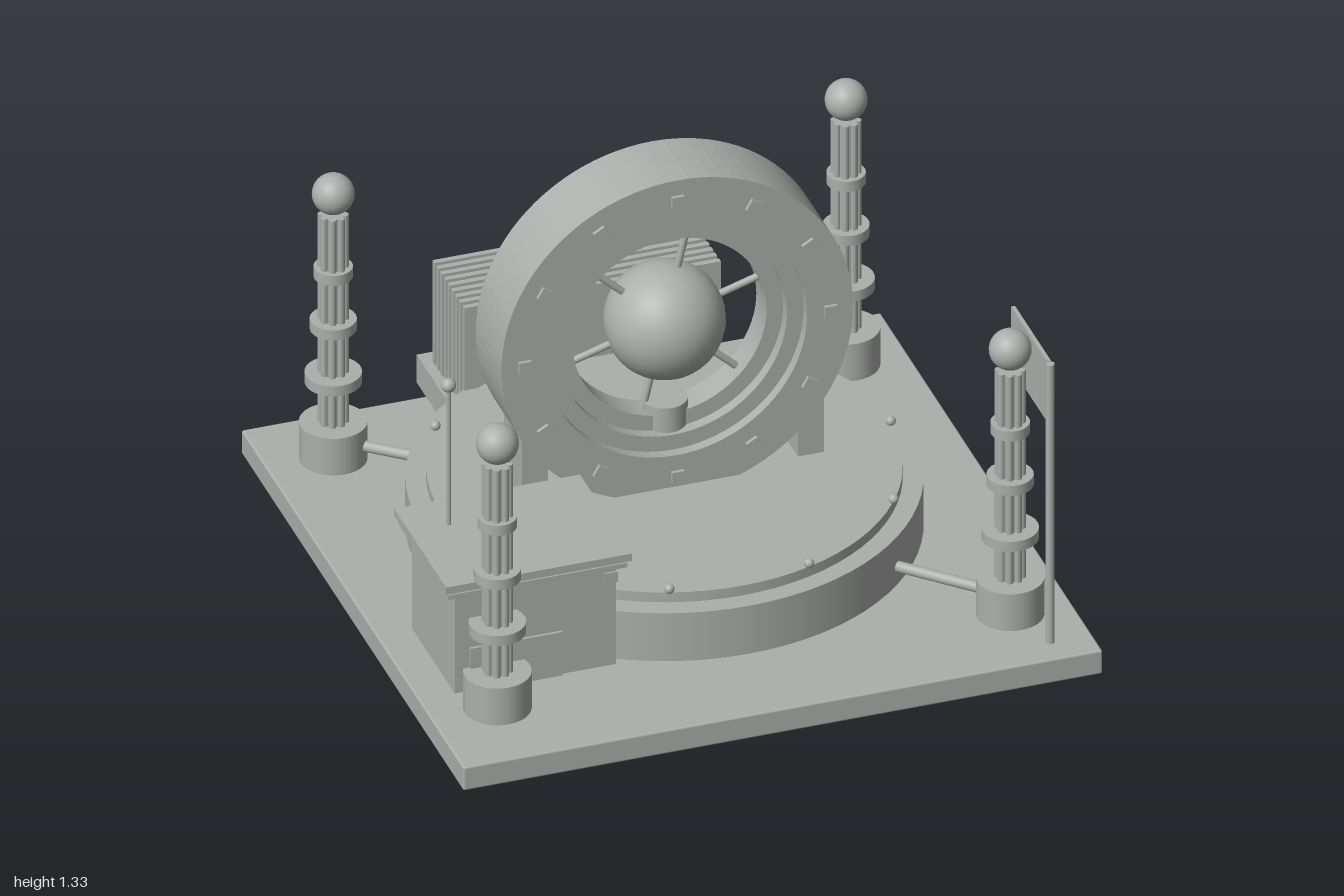
import * as THREE from 'three';
import { RoundedBoxGeometry } from 'three/addons/geometries/RoundedBoxGeometry.js';

const stone = new THREE.MeshStandardMaterial({ color: 0xacafac });
stone.name = 'light grey';

const CZ = -0.04;      // centre of the platform and ring in z
const RING_Y = 0.79;   // height of the ring's centre
const FLOOR = 0.095;   // underside of the parts above the base

function add(parent, name, geometry, x = 0, y = 0, z = 0) {
  const mesh = new THREE.Mesh(geometry, stone);
  mesh.name = name;
  mesh.position.set(x, y, z);
  parent.add(mesh);
  return mesh;
}

function group(parent, name, x = 0, y = 0, z = 0) {
  const g = new THREE.Group();
  g.name = name;
  g.position.set(x, y, z);
  parent.add(g);
  return g;
}

// Box and upright cylinder given by their extents
const box = (p, name, x0, x1, y0, y1, z0, z1) =>
  add(p, name, new THREE.BoxGeometry(x1 - x0, y1 - y0, z1 - z0),
    (x0 + x1) / 2, (y0 + y1) / 2, (z0 + z1) / 2);
const cyl = (p, name, r, y0, y1, x = 0, z = 0, sides = 32) =>
  add(p, name, new THREE.CylinderGeometry(r, r, y1 - y0, sides), x, (y0 + y1) / 2, z);
const ball = (p, name, r, x, y, z) =>
  add(p, name, new THREE.SphereGeometry(r, 32, 20), x, y, z);

// Straight round bar between two points
function rod(p, name, a, b, r) {
  const dir = b.clone().sub(a);
  const m = add(p, name, new THREE.CylinderGeometry(r, r, dir.length(), 12));
  m.position.copy(a).add(b).multiplyScalar(0.5);
  m.quaternion.setFromUnitVectors(new THREE.Vector3(0, 1, 0), dir.normalize());
  return m;
}

// Flat-sided ring around z, with a square section
function hoop(p, name, inner, outer, depth) {
  const shape = new THREE.Shape().absarc(0, 0, outer, 0, Math.PI * 2);
  shape.holes.push(new THREE.Path().absarc(0, 0, inner, 0, Math.PI * 2, true));
  const g = new THREE.ExtrudeGeometry(shape, { depth, bevelEnabled: false, curveSegments: 48 });
  return add(p, name, g, 0, 0, -depth / 2);
}

function buildPlatform(root) {
  const p = group(root, 'platform', 0, 0, CZ);
  cyl(p, 'lowerStep', 0.745, FLOOR, 0.257, 0, 0, 80);
  cyl(p, 'upperStep', 0.685, 0.25, 0.29, 0, 0, 80);
  for (let i = 0; i < 10; i++) {
    const a = i * Math.PI / 5;
    ball(p, 'rimLight', 0.015, 0.688 * Math.cos(a), 0.305, 0.688 * Math.sin(a));
  }
}

function buildRing(root) {
  const p = group(root, 'ring', 0, RING_Y, CZ);
  hoop(p, 'outerHoop', 0.395, 0.535, 0.225);
  hoop(p, 'middleHoop', 0.345, 0.396, 0.16);
  hoop(p, 'innerHoop', 0.295, 0.346, 0.09);
  ball(p, 'core', 0.177, 0, 0, 0);

  // Spokes from the core to the inner hoop
  for (let i = 0; i < 6; i++) {
    const a = THREE.MathUtils.degToRad(17 + 60 * i);
    const d = new THREE.Vector3(Math.cos(a), Math.sin(a), 0);
    rod(p, 'spoke', d.clone().multiplyScalar(0.15), d.clone().multiplyScalar(0.31), 0.011);
  }
  // Studs showing on both faces
  for (let i = 0; i < 12; i++) {
    const a = i * Math.PI / 6;
    for (const s of [-1, 1]) {
      const stud = add(p, 'stud', new THREE.BoxGeometry(0.038, 0.038, 0.03),
        0.465 * Math.cos(a), 0.465 * Math.sin(a), s * 0.109);
      stud.rotation.z = a;
    }
  }
  cyl(p, 'pedestal', 0.068, -0.36, -0.262);
  for (const s of [-1, 1]) {
    const leg = add(p, 'ringSupport', new THREE.BoxGeometry(0.08, 0.25, 0.155), s * 0.42, -0.385, 0);
    leg.position.z = -0.003;
  }
}

function buildPillar(root, x, z) {
  const p = group(root, 'pillar', x, 0, z);
  cyl(p, 'foot', 0.099, FLOOR, 0.219);
  cyl(p, 'column', 0.034, 0.21, 0.92);
  for (let i = 0; i < 8; i++) {
    const a = (i + 0.5) * Math.PI / 4;
    cyl(p, 'flute', 0.011, 0.21, 0.92, 0.034 * Math.cos(a), 0.034 * Math.sin(a), 10);
  }
  for (const [y, r] of [[0.37, 0.083], [0.55, 0.068], [0.727, 0.057]])
    cyl(p, 'collar', r, y - 0.017, y + 0.017);
  ball(p, 'finial', 0.062, 0, 0.988, 0);

  // Pipe running to the platform
  const end = new THREE.Vector3(x, 0.155, z);
  const hub = new THREE.Vector3(0, 0.155, CZ);
  const rim = hub.clone().add(end.clone().sub(hub).setLength(0.72));
  rod(root, 'pipe', end, rim, 0.017);
}

function buildConsole(root) {
  const p = group(root, 'console');
  box(p, 'cabinet', -0.895, -0.405, 0.14, 0.49, 0.325, 0.7);
  box(p, 'lidLip', -0.925, -0.38, 0.48, 0.495, 0.295, 0.73);
  box(p, 'lid', -0.935, -0.37, 0.505, 0.53, 0.285, 0.74);
  box(p, 'lidCore', -0.91, -0.395, 0.49, 0.51, 0.31, 0.715);
  box(p, 'lowerPanel', -0.85, -0.57, 0.14, 0.287, 0.69, 0.709);
  box(p, 'cornerLatch', -0.44, -0.4, 0.42, 0.455, 0.67, 0.706);
  cyl(p, 'antenna', 0.008, 0.52, 1.0, -0.815, 0.415, 12);
  ball(p, 'antennaTip', 0.022, -0.815, 1.0, 0.415);
}

function buildRadiator(root) {
  const p = group(root, 'radiator');
  box(p, 'plinth', -0.42, 0.42, FLOOR, 0.19, -1.0, -0.66);
  for (let i = 0; i < 9; i++) {
    const z = -0.938 + i * 0.0325;
    box(p, 'fin', -0.39, 0.39, 0.185, 0.535, z - 0.009, z + 0.009);
  }
}

function buildFlag(root) {
  const p = group(root, 'flag');
  cyl(p, 'pole', 0.013, 0.075, 1.022, 0.845, 0.905, 16);
  box(p, 'banner', 0.839, 0.851, 0.82, 1.025, 0.58, 0.895);
}

export function createModel() {
  const root = new THREE.Group();
  root.name = 'monument';
  add(root, 'base', new RoundedBoxGeometry(1.945, 0.08, 1.945, 2, 0.007), 0, 0.04, 0.026);
  buildPlatform(root);
  buildRing(root);
  for (const x of [-0.78, 0.78])
    for (const z of [-0.695, 0.742]) buildPillar(root, x, z);
  buildConsole(root);
  buildRadiator(root);
  buildFlag(root);
  return root;
}
